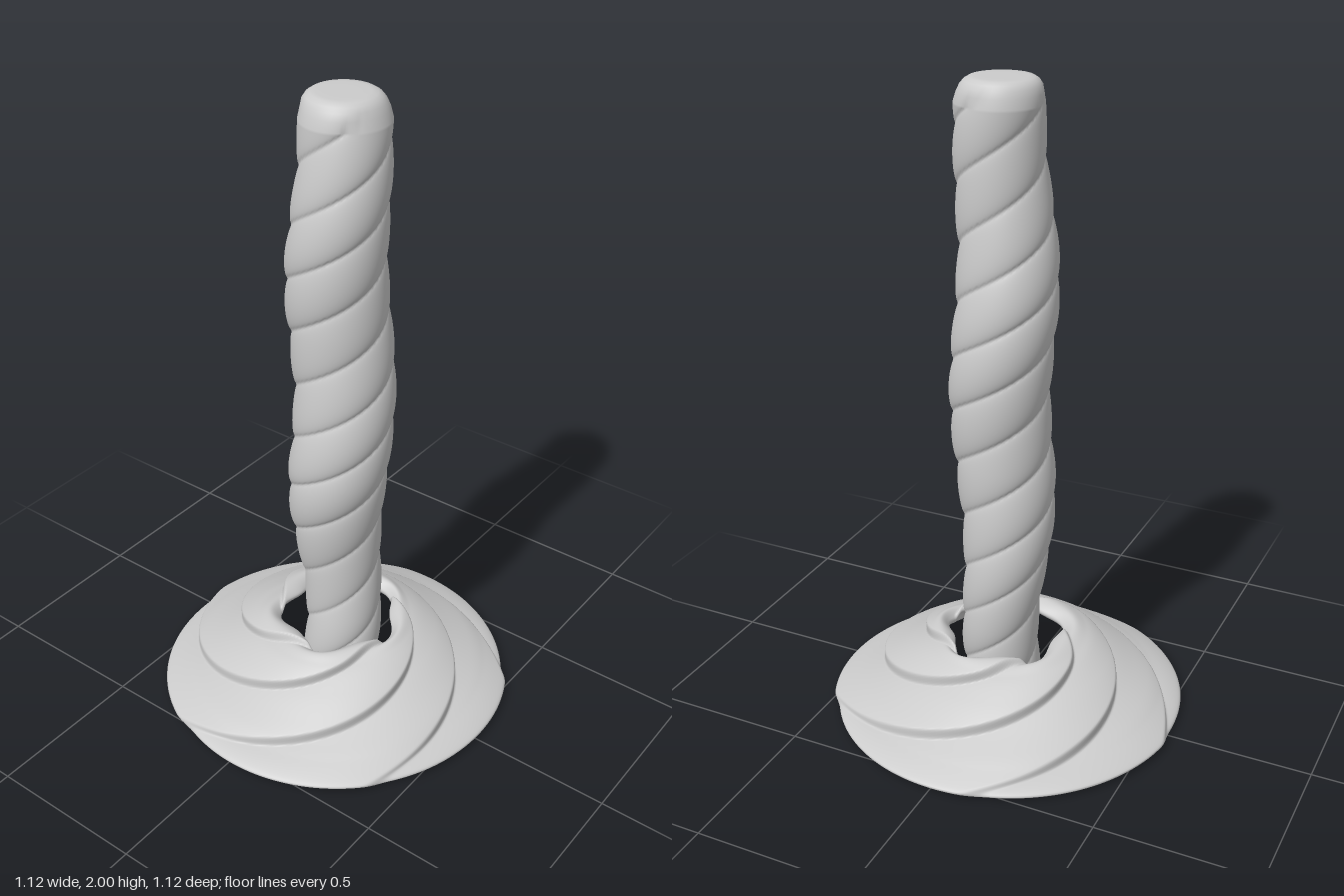
import * as THREE from 'three';

const TAU = Math.PI * 2;
const rad = THREE.MathUtils.degToRad;
const smoothstep = THREE.MathUtils.smoothstep;
const frac = (v) => v - Math.floor(v);

// Skin made of rings: point(i, angle) gives [x, y, z]; the angle runs from +x towards +z.
function ringSkin(rows, sides, closed, point) {
  const pos = [], index = [];
  for (let i = 0; i < rows; i++) {
    for (let j = 0; j < sides; j++) pos.push(...point(i, (j / sides) * TAU));
  }
  const last = closed ? rows : rows - 1;
  for (let i = 0; i < last; i++) {
    for (let j = 0; j < sides; j++) {
      const a = i * sides + j, b = i * sides + (j + 1) % sides;
      const c = ((i + 1) % rows) * sides + j, d = ((i + 1) % rows) * sides + (j + 1) % sides;
      index.push(a, c, b, b, c, d);
    }
  }
  const g = new THREE.BufferGeometry();
  g.setAttribute('position', new THREE.Float32BufferAttribute(pos, 3));
  g.setIndex(index);
  g.computeVertexNormals();
  return g;
}

// Rope column: strands winding round a slightly wandering axis.
function columnGeometry() {
  const strands = 3, pitch = 0.52, bottom = 0.065, top = 2;
  const body = 260;
  const rings = [[0, bottom], [0.07, bottom], [0.108, bottom + 0.004]];
  for (let i = 0; i <= body; i++) {
    const y = bottom + 0.015 + (i / body) * (top - bottom - 0.085);
    const swell = smoothstep(y, 0.3, 0.85) * (1 - 0.75 * smoothstep(y, 1.3, 1.94));
    rings.push([0.122 + 0.031 * swell, y]);
  }
  rings.push([0.123, 1.957], [0.115, 1.977], [0.105, 1.99], [0.092, 1.998], [0.075, top], [0.04, top], [0, top]);
  return ringSkin(rings.length, 112, false, (i, angle) => {
    const [r0, y] = rings[i];
    const u = frac(strands * ((angle - Math.PI / 2) / TAU + (y - 1.66) / pitch));
    // rounded strand with its bulge nearer the lower edge
    const bulge = Math.sin(Math.PI * Math.pow(u, 0.8));
    const fade = 1 - smoothstep(y, 1.92, 1.995);
    const r = r0 * (1 - 0.1 * (1 - Math.sqrt(Math.max(bulge, 0))) * fade);
    const drift = ((y - 0.4) / 0.8) * TAU;
    return [
      0.005 + 0.012 * Math.cos(drift) + r * Math.cos(angle),
      y,
      0.014 - 0.012 * Math.sin(drift) + r * Math.sin(angle),
    ];
  });
}

// Hollow skirt: a thin shell with five overlapping folds swirling into the hole.
function skirtGeometry() {
  const profile = new THREE.CatmullRomCurve3([
    [0.556, 0.018], [0.48, 0.06], [0.4, 0.112], [0.32, 0.174], [0.25, 0.228],
    [0.208, 0.252], [0.176, 0.232], [0.192, 0.208], [0.26, 0.182],
    [0.37, 0.105], [0.46, 0.045], [0.53, 0.006],
  ].map(([r, y]) => new THREE.Vector3(r, y, 0)), true);
  const rows = 180;
  const pts = profile.getSpacedPoints(rows);
  return ringSkin(rows, 240, true, (i, angle) => {
    const { x: r0, y: y0 } = pts[i];
    const inward = THREE.MathUtils.clamp((0.56 - r0) / 0.36, 0, 1.05);
    const swirl = rad(165) * Math.pow(inward, 1.2);
    const u = frac((angle - rad(199) + swirl) / (TAU / 5));
    // steep step up, then a slow slide down to the next fold
    const step = 0.12;
    const fold = u < step
      ? smoothstep(u, 0, step)
      : 1 - Math.pow((u - step) / (1 - step), 1.4);
    const under = i > rows * 0.53 ? 0.7 : 1;
    const lift = (fold - 0.5) * 0.024 * under;
    const nearRim = smoothstep(r0, 0.44, 0.55);
    const nearHole = 1 - smoothstep(r0, 0.17, 0.27);
    const r = r0 + lift * 0.6 * (1 - nearHole)
      + 0.015 * nearHole * Math.cos(5 * (angle - rad(18)));
    const y = Math.max(0, y0 + lift * (1 - 0.75 * nearRim));
    return [
      r * Math.cos(angle) + 0.006 * nearHole,
      y,
      r * Math.sin(angle) + 0.012 * nearHole,
    ];
  });
}

export function createModel() {
  const group = new THREE.Group();
  group.name = 'twistedColumnOnSwirledBase';
  const material = new THREE.MeshStandardMaterial({ color: 0xcccccc, side: THREE.DoubleSide });
  const parts = { twistedColumn: columnGeometry(), swirledBase: skirtGeometry() };
  for (const [name, geometry] of Object.entries(parts)) {
    const mesh = new THREE.Mesh(geometry, material);
    mesh.name = name;
    group.add(mesh);
  }
  return group;
}
